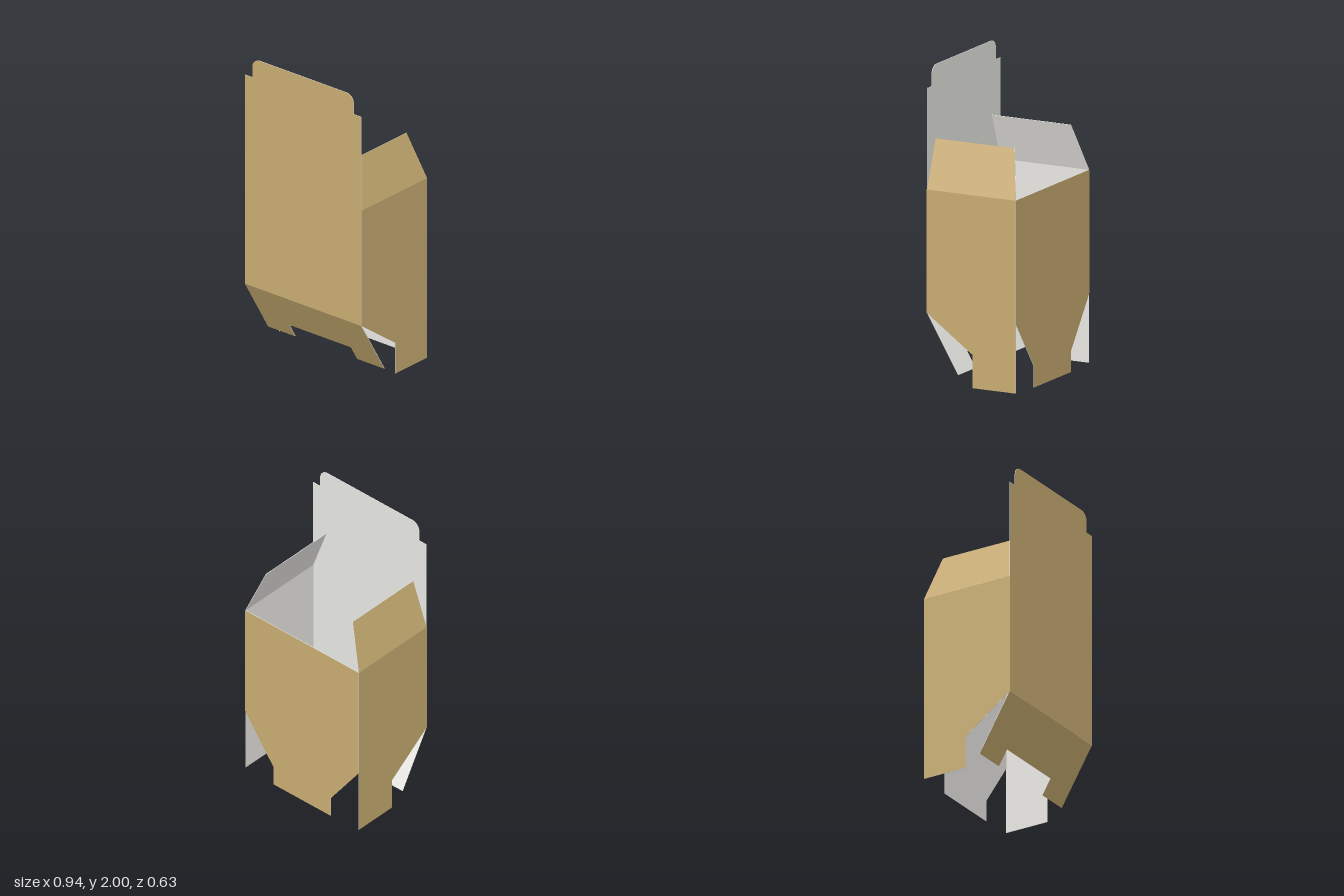
import * as THREE from 'three';

const HX = 0.47, HZ = 0.312;      // half width and half depth of the carton
const Y0 = 0.45, Y1 = 1.23;       // lower and upper fold lines
const T = 0.003;                  // card thickness

export function createModel() {
  const model = new THREE.Group();
  const kraft = new THREE.MeshStandardMaterial({ color: 0xc8ac71 });
  kraft.name = 'kraft brown';
  const lining = new THREE.MeshStandardMaterial({ color: 0xebeae6 });
  lining.name = 'white lining';

  // A card sheet: white body with a brown outer face. u and v span it, u x v points outwards.
  function sheet(name, outline, origin, u, v) {
    const shape = outline instanceof THREE.Shape
      ? outline
      : new THREE.Shape(outline.map(([x, y]) => new THREE.Vector2(x, y)));
    const body = new THREE.ExtrudeGeometry(shape, { depth: T, bevelEnabled: false, curveSegments: 8 });
    body.translate(0, 0, -T);
    const face = new THREE.ShapeGeometry(shape, 8);
    face.translate(0, 0, 0.001);
    const U = new THREE.Vector3(...u).normalize();
    const V = new THREE.Vector3(...v).normalize();
    const frame = new THREE.Matrix4().makeBasis(U, V, U.clone().cross(V)).setPosition(...origin);
    const group = new THREE.Group();
    group.name = name;
    for (const [geo, mat, part] of [[body, lining, 'Lining'], [face, kraft, 'Outside']]) {
      geo.applyMatrix4(frame);
      const mesh = new THREE.Mesh(geo, mat);
      mesh.name = name + part;
      group.add(mesh);
    }
    model.add(group);
  }

  const up = [0, 1, 0];
  const wall = (h) => [[-h, Y0], [h, Y0], [h, Y1], [-h, Y1]];

  // Front and back walls
  sheet('frontWall', wall(HX), [0, 0, HZ], [1, 0, 0], up);
  sheet('backWall', wall(HX), [0, 0, -HZ], [-1, 0, 0], up);

  // Raised lid with a rounded tuck tab
  const lid = new THREE.Shape();
  const r = 0.06, tab = 0.41, step = 1.87;
  lid.moveTo(-HX, Y1);
  lid.lineTo(HX, Y1);
  lid.lineTo(HX, step);
  lid.lineTo(tab, step);
  lid.lineTo(tab, 2 - r);
  lid.absarc(tab - r, 2 - r, r, 0, Math.PI / 2, false);
  lid.lineTo(-tab + r, 2);
  lid.absarc(-tab + r, 2 - r, r, Math.PI / 2, Math.PI, false);
  lid.lineTo(-tab, step);
  lid.lineTo(-HX, step);
  lid.closePath();
  sheet('lid', lid, [0, 0, HZ], [1, 0, 0], up);

  // Side walls, leaning dust flaps and hanging lower side flaps
  for (const s of [1, -1]) {
    const side = s > 0 ? 'right' : 'left';
    const u = [0, 0, -s];
    const place = (pts) => pts.map(([z, y]) => [-s * z, y]);
    sheet(side + 'Wall', wall(HZ), [s * HX, 0, 0], u, up);
    const len = Math.hypot(0.11, 0.3);
    sheet(side + 'DustFlap', place([[HZ, 0], [-HZ, 0], [-0.245, len], [HZ, len]]),
      [s * HX, Y1, 0], u, [-s * 0.11, 0.3, 0]);
    sheet(side + 'LowerFlap',
      place([[HZ, Y0], [-0.01, 0.22], [-0.01, 0.01], [-HZ, 0.01], [-HZ, Y0]]),
      [s * HX, 0, 0], u, up);
  }

  // Lower front flap, folded inwards, with a notch
  const L = Math.hypot(0.37, 0.22), n = L - 0.116;
  sheet('frontLowerFlap',
    [[-HX, 0], [-HX, -L], [-0.25, -L], [-0.25, -n], [0.25, -n], [0.25, -L], [HX, -L], [HX, 0]],
    [0, Y0, HZ], [1, 0, 0], [0, 0.37, 0.22]);

  // Lower back flap, tapering to a tongue
  sheet('backLowerFlap',
    [[-HX, Y0], [-0.237, 0.135], [-0.237, 0], [0.237, 0], [0.237, 0.135], [HX, Y0]],
    [0, 0, -HZ], [-1, 0, 0], up);

  return model;
}
